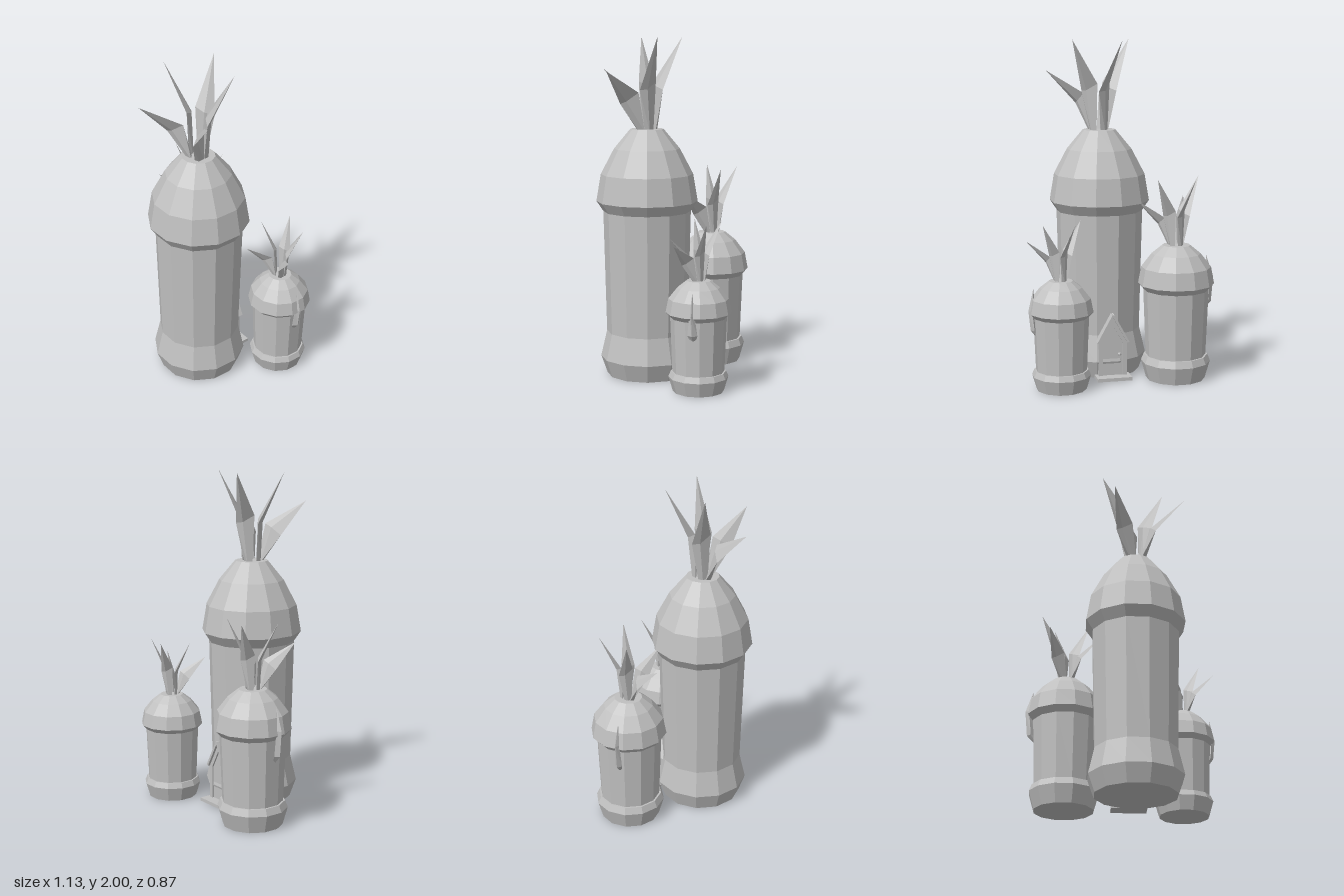
import * as THREE from 'three';

const stone = new THREE.MeshStandardMaterial({ color: 0xc0c0c0, side: THREE.DoubleSide });
stone.name = 'grey';

function flatMesh(geometry, name) {
  const geo = geometry.index ? geometry.toNonIndexed() : geometry;
  geo.computeVertexNormals();
  const mesh = new THREE.Mesh(geo, stone);
  mesh.name = name;
  return mesh;
}

// Joins rings of [x, y, z] points, ordered anticlockwise from above, and closes both ends
function loft(rings) {
  const n = rings[0].length, index = [];
  for (let r = 0; r < rings.length - 1; r++)
    for (let i = 0; i < n; i++) {
      const a = r * n + i, b = r * n + (i + 1) % n;
      index.push(a, b, a + n, b, b + n, a + n);
    }
  const top = (rings.length - 1) * n;
  for (let i = 1; i < n - 1; i++) index.push(0, i + 1, i, top, top + i, top + i + 1);
  const geo = new THREE.BufferGeometry();
  geo.setAttribute('position', new THREE.Float32BufferAttribute(rings.flat(2), 3));
  geo.setIndex(index);
  return geo;
}

// Twelve-sided turned part; profile gives [distance to the flat side, height]
function turned(profile, name) {
  const k = 1 / Math.cos(Math.PI / 12);
  const geo = new THREE.LatheGeometry(profile.map(([r, y]) => new THREE.Vector2(r * k, y)), 12);
  return flatMesh(geo.rotateY(Math.PI / 12), name);
}

// Pointed, slightly twisted leaf leaning from the crown centre towards its tip
function leaf(tx, ty, tz) {
  const len = Math.hypot(tx, tz), ux = tx / len, uz = tz / len;
  const p = (r, t, h) => [ux * r + uz * t, h, uz * r - ux * t];
  const low = ty < 0.4;
  const mid = low
    ? [p(0.145, -0.025, 0.165), p(0.09, 0.02, 0.215), p(0.115, -0.02, 0.195), p(0.165, -0.055, 0.15)]
    : [p(0.085, -0.02, 0.235), p(0.05, 0.04, 0.275), p(0.05, -0.015, 0.25), p(0.08, -0.066, 0.23)];
  const base = [p(0.06, 0, -0.02), p(0.045, 0.026, -0.015), p(0.035, 0, -0.01), p(0.045, -0.026, -0.015)];
  const tip = Array.from({ length: 4 }, () => [tx, ty, tz]);
  return flatMesh(loft([base, mid, tip]), 'leaf');
}

function crown(y, scale) {
  const group = new THREE.Group();
  group.name = 'leafCrown';
  [[-0.102, 0.535, -0.189], [0.18, 0.535, -0.111], [0.293, 0.345, 0.159],
    [-0.135, 0.345, 0.306], [-0.2, 0.535, 0.086]].forEach(t => group.add(leaf(...t)));
  group.position.y = y;
  group.scale.setScalar(scale);
  return group;
}

// Side drop ornament: rows of [height, inner, outer, half width], pointing along +x
function drop(rows) {
  const rings = rows.map(([y, inn, out, w]) => {
    const m = (inn + out) / 2;
    return [[out, y, 0], [m, y, -w], [inn, y, 0], [m, y, w]];
  });
  return flatMesh(loft(rings), 'sideDrop');
}

function mainTower() {
  const g = new THREE.Group();
  g.name = 'mainTower';
  g.add(
    turned([[0, 0], [0.232, 0], [0.268, 0.105], [0.233, 0.26], [0.25, 0.98]], 'mainWall'),
    turned([[0.25, 0.98], [0.289, 1.04], [0.263, 1.2], [0.187, 1.35], [0.095, 1.465], [0, 1.465]], 'mainRoof'),
    crown(1.465, 1));
  g.position.set(0.067, 0, 0.124);
  return g;
}

function smallTower(name, x, z, sr, sh, leafScale) {
  const g = new THREE.Group();
  g.name = name;
  const s = rows => rows.map(([r, y]) => [r * sr, y * sh]);
  g.add(
    turned(s([[0, 0], [0.17, 0], [0.199, 0.105], [0.183, 0.145], [0.172, 0.145]]), 'baseBand'),
    turned(s([[0.172, 0.14], [0.187, 0.54]]), 'smallWall'),
    turned(s([[0.187, 0.54], [0.217, 0.575], [0.199, 0.675], [0.14, 0.755], [0.08, 0.805], [0, 0.805]]), 'smallRoof'),
    crown(0.805 * sh, leafScale));
  g.position.set(x, 0, z);
  return g;
}

// Pointed door outline
function gable(w, eaves, apex) {
  return new THREE.Shape([[-w, 0], [w, 0], [w, eaves], [0, apex], [-w, eaves]]
    .map(([x, y]) => new THREE.Vector2(x, y)));
}

function slab(shape, depth, name) {
  return flatMesh(new THREE.ExtrudeGeometry(shape, { depth, bevelEnabled: false }), name);
}

function doorway() {
  const g = new THREE.Group();
  g.name = 'doorway';
  const frameShape = gable(0.085, 0.21, 0.365);
  frameShape.holes.push(gable(0.06, 0.2, 0.31));
  const frame = slab(frameShape, 0.07, 'doorFrame');
  frame.position.set(0, 0.02, 0.08);
  const panel = slab(gable(0.06, 0.2, 0.31), 0.05, 'doorPanel');
  panel.position.set(0, 0.02, 0.09);
  g.add(frame, panel);
  // Gable boards
  const a = Math.atan2(0.155, 0.085);
  for (const s of [-1, 1]) {
    const board = flatMesh(new THREE.BoxGeometry(0.19, 0.014, 0.085), 'gableBoard');
    board.position.set(s * 0.045, 0.308, 0.1225);
    board.rotation.z = -s * a;
    g.add(board);
  }
  // Knob and step
  const knob = flatMesh(new THREE.IcosahedronGeometry(0.011, 0), 'doorKnob');
  knob.position.set(0.04, 0.15, 0.147);
  const step = flatMesh(new THREE.BoxGeometry(0.208, 0.02, 0.1), 'doorStep');
  step.position.set(0, 0.012, 0.157);
  g.add(knob, step);
  g.position.x = 0.041;
  g.rotation.y = Math.PI;
  return g;
}

export function createModel() {
  const model = new THREE.Group();
  model.name = 'vegetableTowers';

  const rightTower = smallTower('rightTower', -0.333, -0.182, 1, 1, 0.75);
  const rightDrop = drop([[0.41, 0.165, 0.185, 0.012], [0.45, 0.175, 0.222, 0.022],
    [0.6, 0.19, 0.235, 0.014], [0.73, 0.19, 0.19, 0]]);
  rightDrop.rotation.y = Math.PI;
  rightDrop.position.z = 0.02;
  rightTower.add(rightDrop);

  const leftTower = smallTower('leftTower', 0.37, -0.257, 0.834, 0.795, 0.63);
  leftTower.add(drop([[0.325, 0.14, 0.155, 0.018], [0.355, 0.14, 0.178, 0.029],
    [0.47, 0.15, 0.19, 0.015], [0.6, 0.16, 0.16, 0]]));

  model.add(mainTower(), rightTower, leftTower, doorway());
  return model;
}
